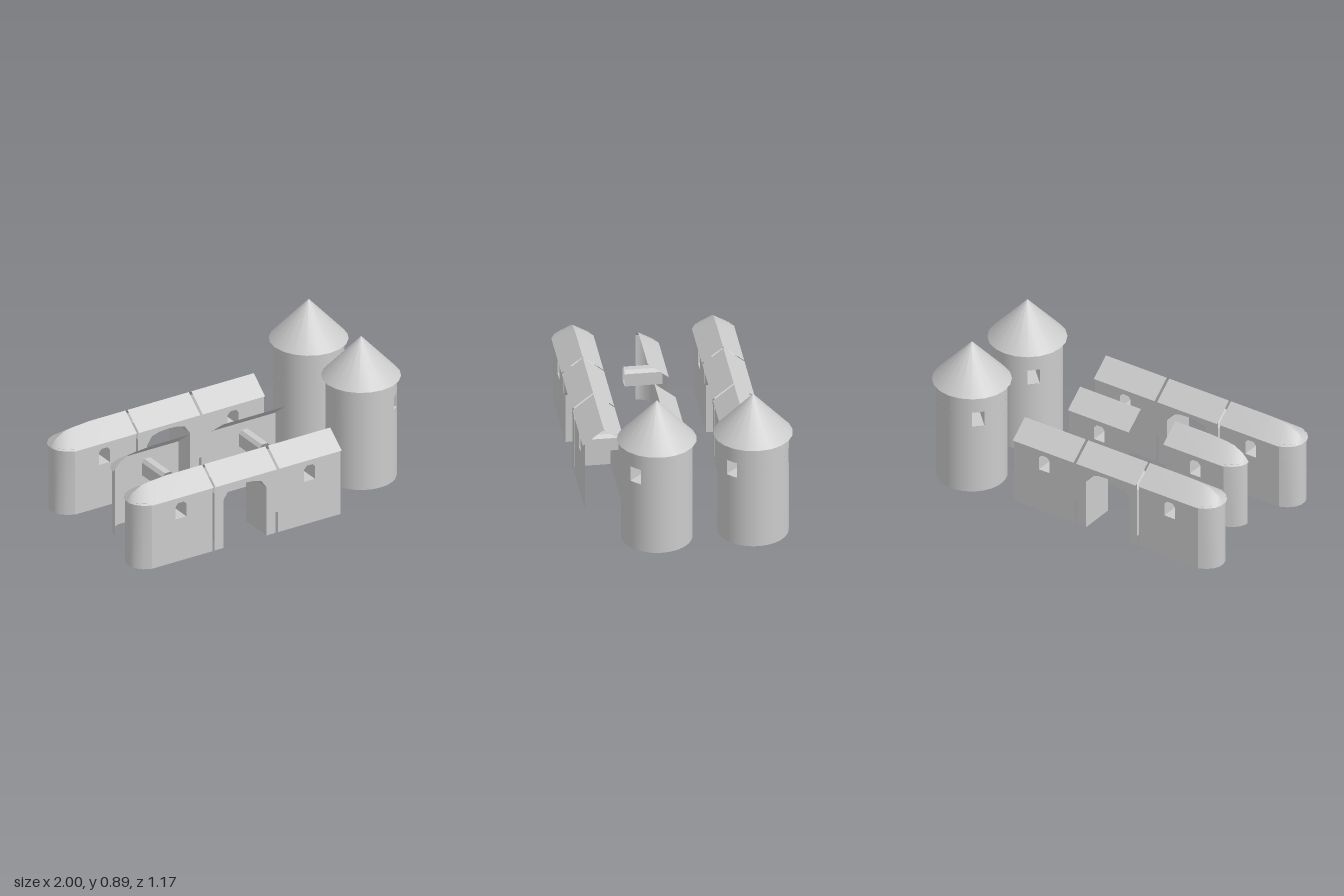
import * as THREE from 'three';
import { toCreasedNormals } from 'three/addons/utils/BufferGeometryUtils.js';

const mat = new THREE.MeshStandardMaterial({ color: 0xcccccc, side: THREE.DoubleSide });
const EAVE = 0.415, RIDGE = 0.512, WALL_TOP = 0.424;
const ROOF_HALF = 0.123, WALL_HALF = 0.11;

function add(group, name, geometry) {
  const mesh = new THREE.Mesh(geometry, mat);
  mesh.name = name;
  group.add(mesh);
  return mesh;
}

// Surface stretched between two rows of [x, y, z] points; flip turns it over
function strip(rowA, rowB, flip = false, crease = 0.6) {
  const position = [...rowA, ...rowB].flat(), index = [], n = rowA.length;
  for (let i = 0; i < n - 1; i++) {
    const q = [i, i + 1, n + i, i + 1, n + i + 1, n + i];
    index.push(...(flip ? q.reverse() : q));
  }
  const g = new THREE.BufferGeometry();
  g.setAttribute('position', new THREE.Float32BufferAttribute(position, 3));
  g.setIndex(index);
  return toCreasedNormals(g, crease);
}

// Outline of a small arched window centred on x
const windowOutline = x => [
  [-0.037, 0.275], [0.037, 0.275], [0.037, 0.355], [0.02, 0.375], [-0.02, 0.375], [-0.037, 0.355],
].map(([dx, y]) => [x + dx, y]);

// Outline of the gate arch, from foot to foot
const gateOutline = x => [
  [-0.148, 0], [-0.148, 0.31], [-0.112, 0.362], [-0.06, 0.377], [0, 0.381],
  [0.06, 0.377], [0.112, 0.362], [0.148, 0.31], [0.148, 0],
].map(([dx, y]) => [x + dx, y]);

const toVectors = pts => pts.map(p => new THREE.Vector2(...p));

// One open-ended length of castle wall; sides lists which faces (+1 front, -1 back) exist
function wallSegment(name, { x0, x1, windowX, gateX, rounded = false, sides = [1, -1] }) {
  const group = new THREE.Group();
  group.name = name;
  const flatStart = rounded ? x0 + 0.1 : x0;

  // Wall face with its opening
  let shape;
  if (gateX !== undefined) {
    shape = new THREE.Shape(toVectors([
      [x0, 0], ...gateOutline(gateX), [x1, 0], [x1, WALL_TOP], [x0, WALL_TOP],
    ]));
  } else {
    shape = new THREE.Shape(toVectors([
      [flatStart, 0], [x1, 0], [x1, WALL_TOP], [flatStart, WALL_TOP],
    ]));
    shape.holes.push(new THREE.Path(toVectors(windowOutline(windowX))));
  }

  // Eave and ridge lines, curving in to a tip at a rounded end
  const eave = rounded
    ? [[x1, ROOF_HALF], [x0 + 0.27, ROOF_HALF], [x0 + 0.1, ROOF_HALF], [x0 + 0.05, 0.098],
      [x0 + 0.015, 0.06], [x0, 0.025], [x0, 0]]
    : [[x1, ROOF_HALF], [x0, ROOF_HALF]];
  const ridge = rounded
    ? [[x1, RIDGE], [x0 + 0.27, RIDGE], [x0 + 0.15, 0.503], [x0 + 0.1, 0.495],
      [x0 + 0.04, 0.462], [x0 + 0.005, 0.425], [x0, EAVE]]
    : [[x1, RIDGE], [x0, RIDGE]];
  const bend = [[0.1, WALL_HALF], [0.055, 0.088], [0.022, 0.054], [0.008, 0.02], [0.008, 0]];

  for (const s of sides) {
    const face = new THREE.ShapeGeometry(shape);
    if (s < 0) {
      face.rotateY(Math.PI);
      face.scale(-1, 1, 1);
      face.setIndex([...face.index.array].reverse());
    }
    face.translate(0, 0, s * WALL_HALF);
    add(group, 'wallFace', face);

    add(group, 'roofSlope', strip(
      eave.map(([x, z]) => [x, EAVE, s * z]),
      ridge.map(([x, y]) => [x, y, 0]), s > 0));

    if (rounded) {
      add(group, 'roundedWallEnd', strip(
        bend.map(([d, z]) => [x0 + d, 0, s * z]),
        bend.map(([d, z]) => [x0 + d, WALL_TOP, s * z]), s > 0, 1));
    }
  }

  // Passage through the wall behind the opening
  let passage = gateX !== undefined ? gateOutline(gateX) : windowOutline(windowX);
  if (gateX === undefined) passage = [...passage, passage[0]];
  add(group, gateX !== undefined ? 'gatePassage' : 'windowPassage', strip(
    passage.map(([x, y]) => [x, y, WALL_HALF]),
    passage.map(([x, y]) => [x, y, -WALL_HALF])));
  return group;
}

// Round tower with a conical roof and a window shaft crossing it diagonally
function tower() {
  const group = new THREE.Group();
  group.name = 'tower';
  const R = 0.206, H = 0.64, low = 0.44, high = 0.535, half = 0.037;
  const gap = Math.asin(half / R), turn = Math.PI / 4;

  const band = (y0, y1, segs, start, length) => {
    const g = new THREE.CylinderGeometry(R, R, y1 - y0, segs, 1, true, start, length);
    add(group, 'towerWall', g.translate(0, (y0 + y1) / 2, 0));
  };
  band(0, low, 40, turn + gap, Math.PI * 2);
  band(high, H, 40, turn + gap, Math.PI * 2);
  for (const a of [turn, turn + Math.PI]) band(low, high, 20, a + gap, Math.PI - 2 * gap);

  const frame = [[-half, low], [half, low], [half, high], [-half, high], [-half, low]];
  const depth = R * Math.cos(gap);
  add(group, 'windowShaft', strip(
    frame.map(([x, y]) => [x, y, depth]),
    frame.map(([x, y]) => [x, y, -depth]))).rotation.y = turn;

  add(group, 'towerRoof', new THREE.ConeGeometry(0.231, 0.252, 20).translate(0, H + 0.126, 0));
  return group;
}

export function createModel() {
  const model = new THREE.Group();
  model.name = 'castleParts';
  const endWall = { x0: -1, x1: -0.485, windowX: -0.7, rounded: true };
  const gateWall = { x0: -0.472, x1: -0.052, gateX: -0.262 };
  const plainWall = { x0: -0.035, x1: 0.392, windowX: 0.18 };

  // Two complete rows of wall
  for (const [name, z] of [['frontRow', 0.46], ['backRow', -0.358]]) {
    const row = new THREE.Group();
    row.name = name;
    row.position.z = z;
    row.add(wallSegment('roundedWall', endWall), wallSegment('gateWall', gateWall),
      wallSegment('plainWall', plainWall));
    model.add(row);
  }

  // Half-width wall pieces between the rows, window passages left exposed
  for (const [name, spec, x, z] of [
    ['halfRoundedWall', endWall, 0.14, 0.1], ['halfPlainWall', plainWall, -0.072, 0.095],
  ]) {
    const piece = wallSegment(name, { ...spec, sides: [-1] });
    piece.position.set(x, 0, z);
    model.add(piece);
  }

  // Pair of towers
  for (const z of [0.205, -0.355]) {
    const t = tower();
    t.position.set(0.766, 0, z);
    model.add(t);
  }
  return model;
}
